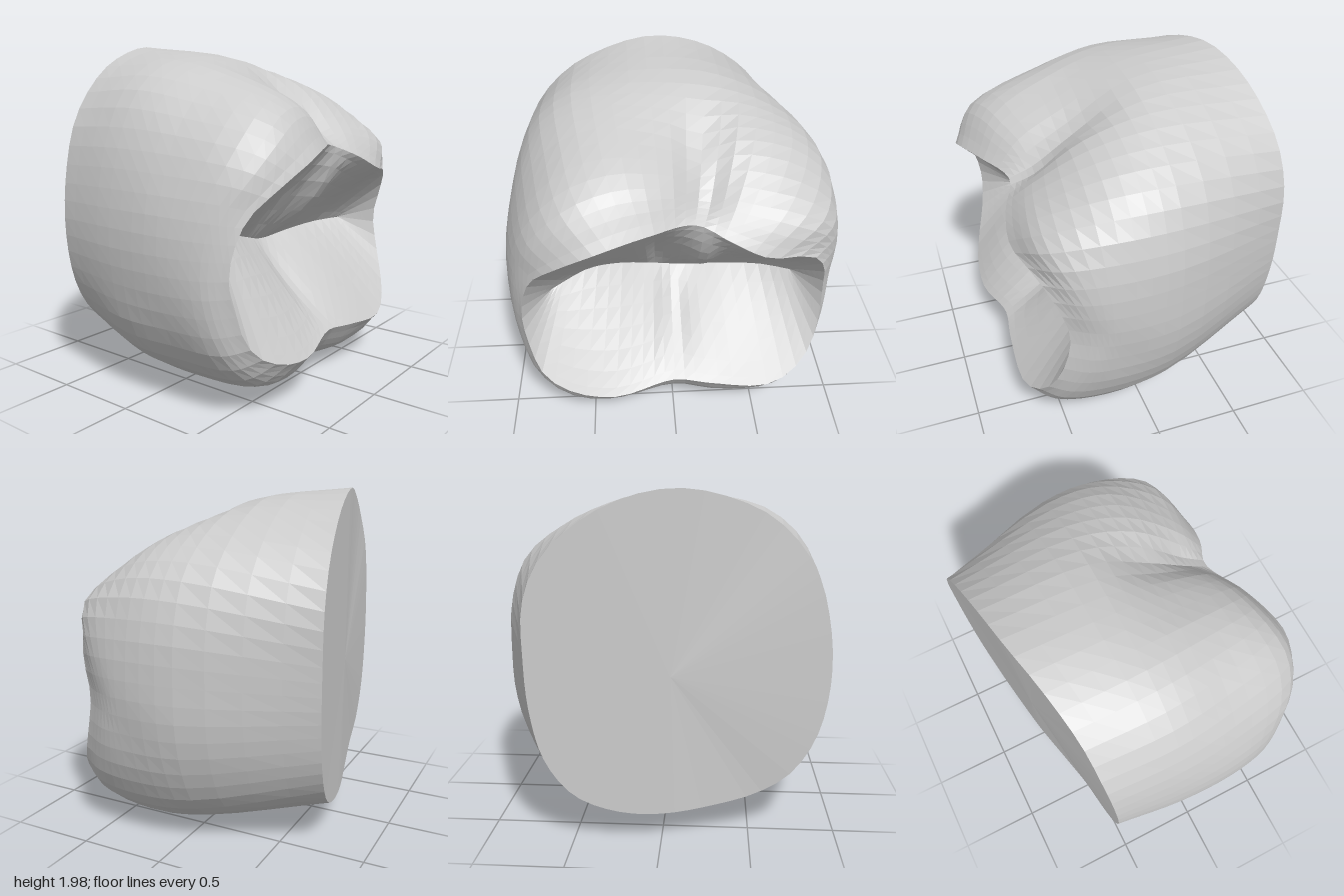
import * as THREE from 'three';

const N = 60;            // points around each ring
const CY = 0.9;          // height of the axis the rings turn about
const bump = (x, c, w) => Math.exp(-(((x - c) / w) ** 2));

// Smooth closed outline, resampled at N equal angles about the axis.
function ring(points, zAt) {
  const pts = points.map(([x, y, z]) => new THREE.Vector3(x, y, zAt ? zAt(x) : z));
  const dense = new THREE.CatmullRomCurve3(pts, true).getPoints(1500);
  return Array.from({ length: N }, (_, i) => {
    const a = (i / N) * Math.PI * 2;
    const c = Math.cos(a), s = Math.sin(a);
    let best = dense[0], bestDot = -2;
    for (const p of dense) {
      const d = (p.x * c + (p.y - CY) * s) / Math.hypot(p.x, p.y - CY);
      if (d > bestDot) { bestDot = d; best = p; }
    }
    return best.clone();
  });
}

// Skin a list of rings, each one following the last.
function skin(rings) {
  const pos = rings.flat().flatMap((p) => [p.x, p.y, p.z]);
  const index = [];
  for (let r = 0; r < rings.length - 1; r++) {
    for (let i = 0; i < N; i++) {
      const j = (i + 1) % N;
      const a = r * N + i, b = r * N + j, c = b + N, d = a + N;
      index.push(a, b, c, a, c, d);
    }
  }
  const g = new THREE.BufferGeometry();
  g.setAttribute('position', new THREE.Float32BufferAttribute(pos, 3));
  g.setIndex(index);
  g.computeVertexNormals();
  return g;
}

export function createModel() {
  const group = new THREE.Group();
  const material = new THREE.MeshStandardMaterial({ color: 0xcccccc, flatShading: true });
  const add = (name, geometry) => {
    const mesh = new THREE.Mesh(geometry, material);
    mesh.name = name;
    group.add(mesh);
  };

  // Slanted, slightly bowed cut at the back
  const back = ring([
    [0.72, 1.1], [0.71, 1.4], [0.62, 1.62], [0.45, 1.79], [0.22, 1.92], [-0.05, 1.98],
    [-0.3, 1.95], [-0.6, 1.82], [-0.82, 1.57], [-0.92, 1.25], [-0.94, 0.9], [-0.87, 0.58],
    [-0.73, 0.37], [-0.55, 0.26], [-0.3, 0.2], [0, 0.17], [0.25, 0.2], [0.48, 0.31],
    [0.63, 0.52], [0.7, 0.8],
  ], (x) => -0.685 - 0.175 * x + 0.03 * bump(x, -0.5, 0.3));

  // Body
  const middle = ring([
    [0.98, 1], [0.96, 1.3], [0.85, 1.57], [0.58, 1.77], [0.3, 1.87], [0, 1.91], [-0.28, 1.91],
    [-0.55, 1.86], [-0.75, 1.72], [-0.88, 1.5], [-0.96, 1.22], [-0.99, 0.95], [-0.97, 0.7],
    [-0.9, 0.42], [-0.75, 0.22], [-0.42, 0.09], [0, 0.05], [0.3, 0.04], [0.57, 0.11],
    [0.78, 0.26], [0.91, 0.5], [0.97, 0.75],
  ], () => -0.1);

  // Widest line
  const belly = ring([
    [1, 1], [0.98, 1.25], [0.9, 1.48], [0.7, 1.64], [0.45, 1.71], [0.2, 1.72], [-0.1, 1.77],
    [-0.35, 1.81], [-0.6, 1.74], [-0.8, 1.55], [-0.92, 1.3], [-0.98, 1.05], [-0.98, 0.75],
    [-0.92, 0.48], [-0.81, 0.27], [-0.62, 0.12], [-0.35, 0.04], [0, 0.02], [0.25, 0.005],
    [0.55, 0.05], [0.78, 0.2], [0.92, 0.45], [0.98, 0.75],
  ], () => 0.25);

  // Shoulder, following the rim a little behind it
  const shoulder = ring([
    [0.96, 0.85], [0.94, 1.15], [0.85, 1.34], [0.65, 1.44], [0.45, 1.48], [0.25, 1.52],
    [0.1, 1.56], [-0.05, 1.6], [-0.3, 1.64], [-0.55, 1.58], [-0.75, 1.4], [-0.89, 1.14],
    [-0.94, 0.85], [-0.92, 0.6], [-0.84, 0.36], [-0.65, 0.19], [-0.35, 0.13], [0, 0.15],
    [0.3, 0.11], [0.6, 0.15], [0.81, 0.3], [0.93, 0.57],
  ], () => 0);

  // Wavy rim around the hollow
  const rim = ring([
    [0.89, 0.85, 0.5], [0.86, 1.05, 0.56], [0.76, 1.18, 0.63], [0.5, 1.24, 0.71],
    [0.3, 1.33, 0.68], [0.12, 1.4, 0.61], [-0.15, 1.42, 0.73], [-0.45, 1.37, 0.82],
    [-0.65, 1.26, 0.78], [-0.8, 1.1, 0.68], [-0.87, 0.85, 0.63], [-0.85, 0.63, 0.65],
    [-0.77, 0.42, 0.71], [-0.6, 0.32, 0.76], [-0.35, 0.28, 0.77], [0, 0.32, 0.69],
    [0.2, 0.3, 0.71], [0.55, 0.27, 0.72], [0.7, 0.32, 0.68], [0.82, 0.44, 0.61],
    [0.88, 0.62, 0.54],
  ]);
  shoulder.forEach((p, i) => { p.z = rim[i].z - 0.13; });

  // Groove running up the top face from the rim
  const groove = (r, depth, width) => r.forEach((p) => {
    if (p.y > 1.2) p.y -= depth * bump(p.x, 0.16, width);
  });
  groove(belly, 0.07, 0.13);
  groove(shoulder, 0.08, 0.11);

  // Blend smoothly through the key rings
  const keys = [back, middle, belly, shoulder, rim];
  const curves = back.map((_, i) => new THREE.CatmullRomCurve3(keys.map((k) => k[i]), false, 'centripetal'));
  const steps = 16;
  const outer = Array.from({ length: steps + 1 }, (_, s) => curves.map((c) => c.getPoint(s / steps)));
  add('crownWall', skin(outer));

  // Hollow: slopes falling from the rim to a crossing fissure, with end walls
  const fissure = new THREE.CatmullRomCurve3([
    [-0.72, 0.85, 0.43], [-0.5, 0.91, 0.32], [-0.33, 0.89, 0.25], [-0.15, 0.84, 0.19],
    [0.06, 0.79, 0.15], [0.3, 0.81, 0.18], [0.55, 0.83, 0.23], [0.73, 0.84, 0.31],
  ].map((p) => new THREE.Vector3(...p))).getPoints(600);
  const inner = [0, 0.07, 0.2, 0.36, 0.52, 0.68, 0.84, 1].map((t) => rim.map((p) => {
    const x = p.x * 0.82;
    const target = fissure.reduce((a, b) => (Math.abs(b.x - x) < Math.abs(a.x - x) ? b : a));
    const q = p.clone().lerp(target, t);
    const swell = Math.sin(Math.PI * t);
    // Ridges and side grooves on each slope
    q.z += p.y > CY
      ? swell * (0.11 * bump(q.x, 0.16, 0.1) - 0.05 * bump(q.x, -0.09, 0.06) - 0.04 * bump(q.x, 0.48, 0.18))
      : swell * (0.02 * bump(q.x, -0.4, 0.25) + 0.02 * bump(q.x, 0.35, 0.2) - 0.05 * bump(q.x, 0.01, 0.09));
    return q;
  }));
  add('hollow', skin(inner));

  // Cap closing the back
  const centre = back.reduce((a, p) => a.add(p), new THREE.Vector3()).divideScalar(N);
  add('backCap', skin([back.map(() => centre.clone()), back]));
  return group;
}
